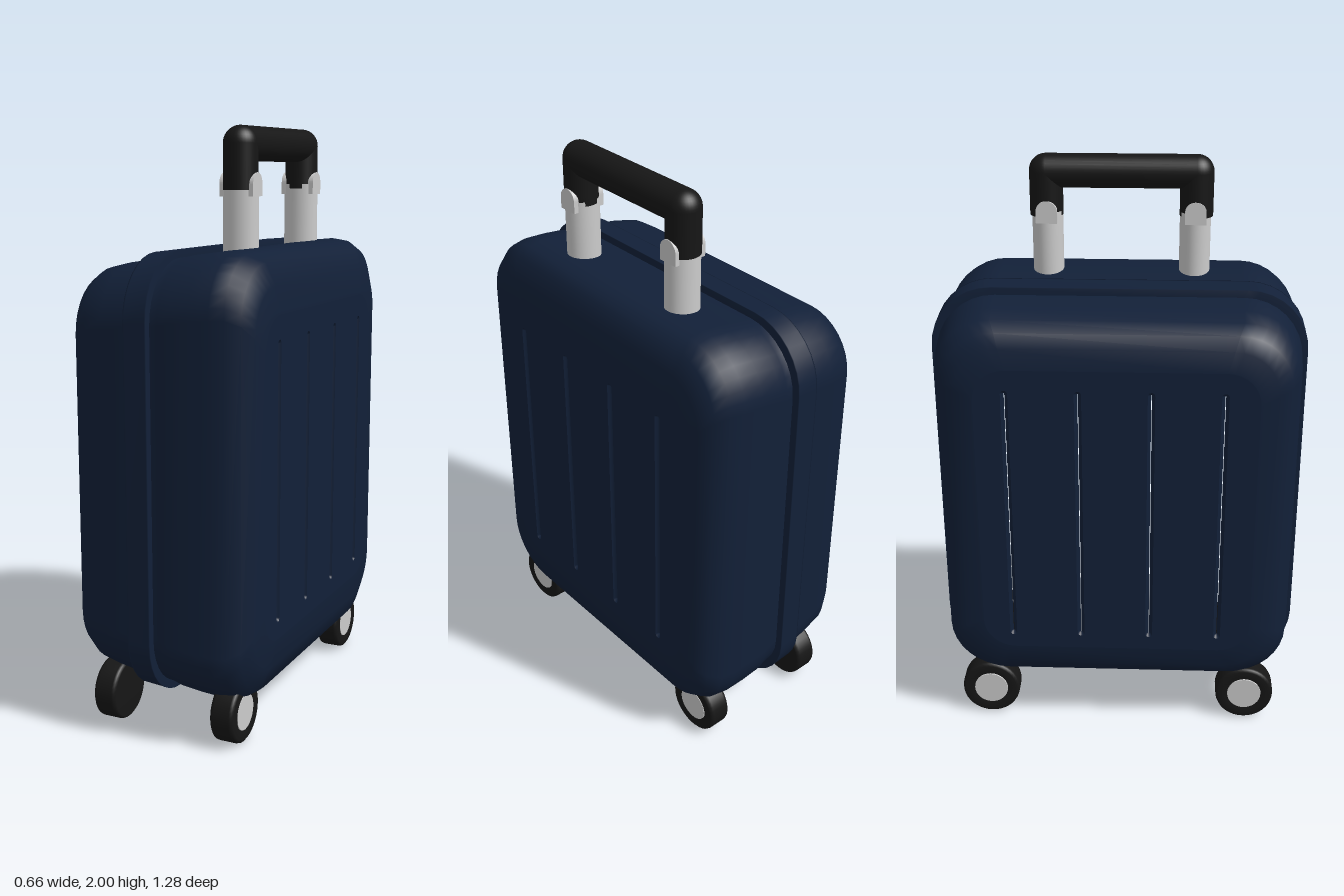
import * as THREE from 'three';

const mat = (color, extra = {}) => new THREE.MeshStandardMaterial({ color, ...extra });
const CENTER_Y = 0.873;

// Rounded rectangle outline as [y, z] pairs
function outline(hy, hz, r, steps = 8) {
  const pts = [];
  const corners = [[1, 1, 0], [-1, 1, 1], [-1, -1, 2], [1, -1, 3]];
  for (const [sy, sz, q] of corners) {
    for (let i = 0; i <= steps; i++) {
      const a = (q + i / steps) * Math.PI / 2;
      pts.push([sy * (hy - r) + r * Math.cos(a), sz * (hz - r) + r * Math.sin(a)]);
    }
  }
  return pts;
}

// Skin through rounded rectangles [x, halfZ, halfY, cornerRadius] stacked along x
function loft(sections) {
  const pos = [], idx = [];
  let n = 0;
  for (const [x, hz, hy, r] of sections) {
    const ring = outline(hy, hz, r);
    n = ring.length;
    for (const [y, z] of ring) pos.push(x, y, z);
  }
  for (let i = 0; i < sections.length - 1; i++) {
    for (let j = 0; j < n; j++) {
      const a = i * n + j, b = i * n + (j + 1) % n;
      idx.push(a, b, a + n, b, b + n, a + n);
    }
  }
  const g = new THREE.BufferGeometry();
  g.setAttribute('position', new THREE.Float32BufferAttribute(pos, 3));
  g.setIndex(idx);
  g.computeVertexNormals();
  return g;
}

export function createModel() {
  const model = new THREE.Group();
  model.name = 'suitcase';
  const navy = mat(0x122038), navyOpen = mat(0x122038, { side: THREE.DoubleSide });
  const black = mat(0x161616), grey = mat(0xcccccc);

  const add = (name, geometry, material, parent = model, x = 0, y = 0, z = 0) => {
    const m = new THREE.Mesh(geometry, material);
    m.name = name;
    m.position.set(x, y, z);
    parent.add(m);
    return m;
  };

  // Shell, growing taller toward +x
  add('shell', loft([
    [-0.33, 0.47, 0.53, 0.11], [-0.322, 0.53, 0.6, 0.15], [-0.295, 0.575, 0.645, 0.18],
    [-0.25, 0.602, 0.673, 0.19], [-0.18, 0.613, 0.69, 0.2], [-0.1, 0.618, 0.702, 0.2],
    [-0.08, 0.616, 0.703, 0.2], [0, 0.614, 0.71, 0.2], [0.025, 0.615, 0.713, 0.2],
    [0.06, 0.62, 0.721, 0.2], [0.13, 0.618, 0.731, 0.2], [0.2, 0.613, 0.738, 0.2],
    [0.25, 0.603, 0.73, 0.19], [0.295, 0.577, 0.702, 0.18],
    [0.322, 0.532, 0.63, 0.15], [0.33, 0.47, 0.54, 0.11],
  ]), navy, model, 0, CENTER_Y);

  // Raised band around the seam
  add('seamBand', loft([
    [-0.083, 0.6, 0.69, 0.19], [-0.083, 0.638, 0.727, 0.21], [-0.078, 0.638, 0.728, 0.21],
    [-0.006, 0.638, 0.734, 0.21], [-0.001, 0.638, 0.735, 0.21], [-0.001, 0.6, 0.69, 0.19],
  ]), navyOpen, model, 0, CENTER_Y);

  // Flat sides with four slots leading into shallow grooves
  for (const s of [1, -1]) {
    const side = new THREE.Group();
    side.name = s > 0 ? 'leftPanel' : 'rightPanel';
    side.position.y = CENTER_Y;
    side.rotation.y = s > 0 ? 0 : Math.PI;
    model.add(side);
    const toPath = (pts, z0 = 0) => pts.map(([y, z]) => new THREE.Vector2(-z - z0, y));
    const face = new THREE.Shape(toPath(outline(s > 0 ? 0.54 : 0.53, 0.47, 0.11)));
    for (const z of [0.365, 0.125, -0.115, -0.355]) {
      face.holes.push(new THREE.Path(toPath(outline(0.47, 0.012, 0.012), z)));
      add('groove', loft([
        [0.33, 0.012, 0.47, 0.012], [0.322, 0.008, 0.464, 0.008], [0.318, 0.001, 0.458, 0.001],
      ]), navy, side, 0, -0.01, z);
    }
    for (const hole of face.holes) hole.curves.forEach((c) => { c.v1.y -= 0.01; c.v2.y -= 0.01; });
    add('panel', new THREE.ShapeGeometry(face).rotateY(Math.PI / 2), navy, side, 0.33);
  }

  // Telescopic handle: two posts with rounded tongues set into the grip
  const handle = new THREE.Group();
  handle.name = 'handle';
  handle.position.x = 0.14;
  model.add(handle);
  const tongue = new THREE.Shape();
  tongue.moveTo(-0.036, 0);
  tongue.lineTo(0.036, 0);
  tongue.lineTo(0.036, 0.04);
  tongue.absarc(0, 0.04, 0.036, 0, Math.PI);
  const R = 0.057, GRIP_Y = 2 - R;
  for (const s of [1, -1]) {
    const z = s * 0.252;
    const post = add('post', new THREE.CylinderGeometry(0.06, 0.06, 0.32, 32), grey, handle, 0, 1.65, z);
    post.scale.z = 0.053 / 0.06;
    add('postTongue', new THREE.ExtrudeGeometry(tongue, { depth: 0.12, bevelEnabled: false, curveSegments: 12 })
      .translate(0, 0, -0.06).rotateY(Math.PI / 2), grey, handle, 0, 1.775, z);
    add('gripLeg', new THREE.CylinderGeometry(R, R, GRIP_Y - 1.795, 32), black, handle, 0, (GRIP_Y + 1.795) / 2, s * 0.255);
    add('gripCorner', new THREE.SphereGeometry(R, 32, 20), black, handle, 0, GRIP_Y, s * 0.255);
  }
  add('gripBar', new THREE.CylinderGeometry(R, R, 0.51, 32).rotateX(Math.PI / 2), black, handle, 0, GRIP_Y, 0);

  // Four wheels, hub caps facing outward
  const tyre = [[0, -0.042], [0.095, -0.042], [0.103, -0.036], [0.105, -0.028], [0.105, 0.028],
    [0.103, 0.036], [0.095, 0.042], [0.066, 0.042], [0.062, 0.036], [0, 0.036]]
    .map(([r, h]) => new THREE.Vector2(r, h));
  for (const sx of [1, -1]) {
    for (const sz of [1, -1]) {
      const wheel = new THREE.Group();
      wheel.name = 'wheel';
      wheel.position.set(sx * 0.22, 0.105, sz * 0.468);
      wheel.rotation.z = -sx * Math.PI / 2;
      model.add(wheel);
      add('tyre', new THREE.LatheGeometry(tyre, 40), black, wheel);
      add('hub', new THREE.CylinderGeometry(0.061, 0.063, 0.02, 32), grey, wheel, 0, 0.031);
    }
  }
  return model;
}
